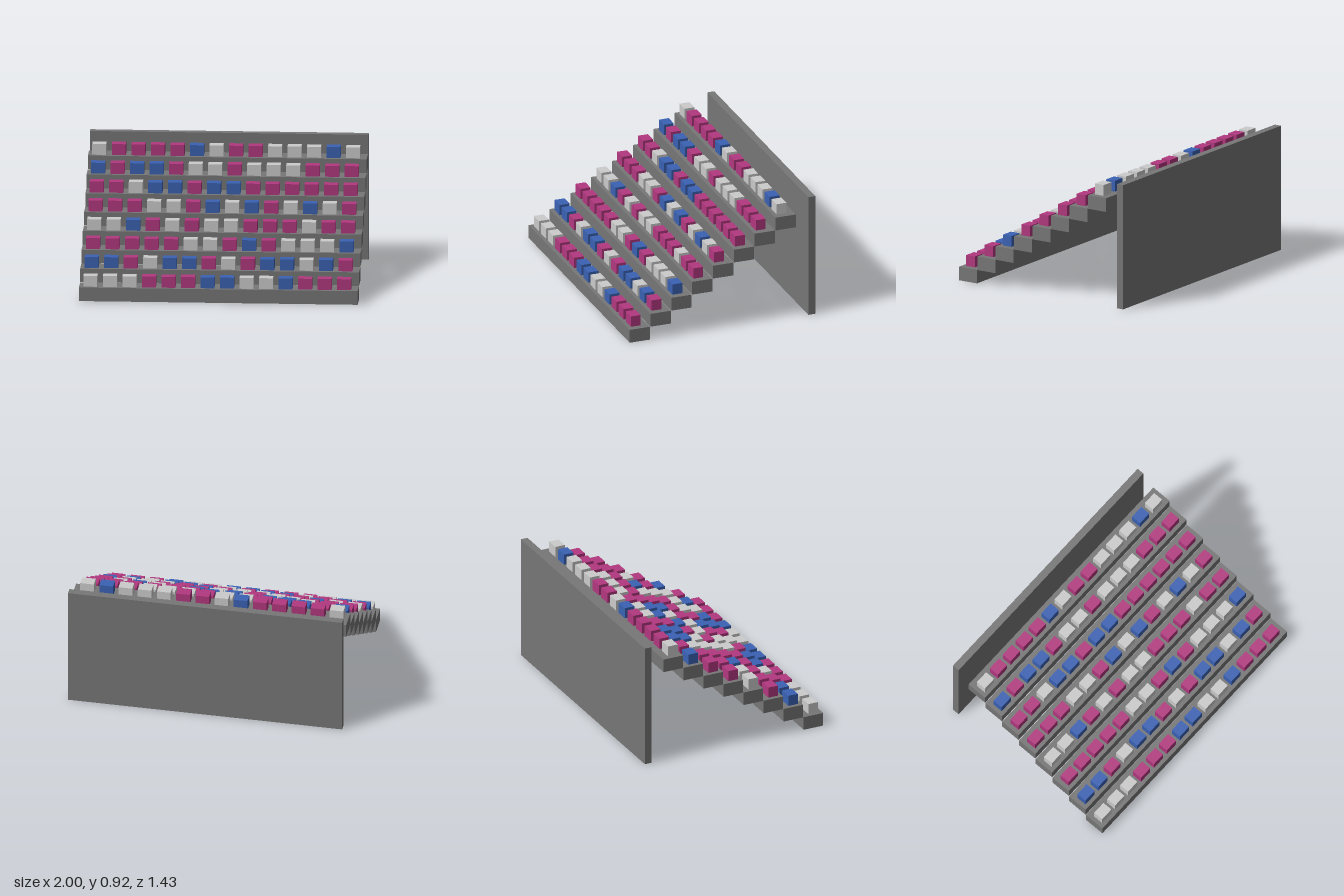
import * as THREE from 'three';

const material = (name, color) => {
  const m = new THREE.MeshStandardMaterial({ color });
  m.name = name;
  return m;
};

export function createModel() {
  const concrete = material('concrete grey', 0x777777);
  const seatColours = {
    W: material('seat white', 0xcccccc),
    M: material('seat magenta', 0xb2387f),
    B: material('seat blue', 0x3a62b4),
  };

  // Seat colours per row, front row first, from -x to +x
  const rows = [
    'WWWMMMBBWWBMMM',
    'BBMWBBMWMBBWBM',
    'MMMMMWWMBMWWWB',
    'WWBMWMWWMMMWMM',
    'MMMWWMBWBMWBWM',
    'MMWBBMBBMMMMMM',
    'BMBBMWWMWWWMMM',
    'WMMMMBWMMWWWBW',
  ];

  const model = new THREE.Group();
  model.name = 'grandstand';

  const stepGeometry = new THREE.BoxGeometry(2, 0.1, 0.156);
  const seatGeometry = new THREE.BoxGeometry(0.1, 0.08, 0.076);

  const add = (parent, geometry, mat, name, x, y, z) => {
    const mesh = new THREE.Mesh(geometry, mat);
    mesh.name = name;
    mesh.position.set(x, y, z);
    parent.add(mesh);
  };

  // Rising tiers, each a step with a row of seats
  rows.forEach((row, i) => {
    const tier = new THREE.Group();
    tier.name = `tier${i + 1}`;
    tier.position.set(0, i * 0.1, 0.636 - i * 0.16);
    add(tier, stepGeometry, concrete, 'step', 0, 0.05, 0);
    [...row].forEach((c, j) =>
      add(tier, seatGeometry, seatColours[c], 'seat', -0.92 + j * 0.14, 0.14, 0.012));
    model.add(tier);
  });

  // Free-standing wall behind the tiers
  add(model, new THREE.BoxGeometry(2, 0.92, 0.054), concrete, 'backWall', 0, 0.46, -0.685);

  return model;
}
